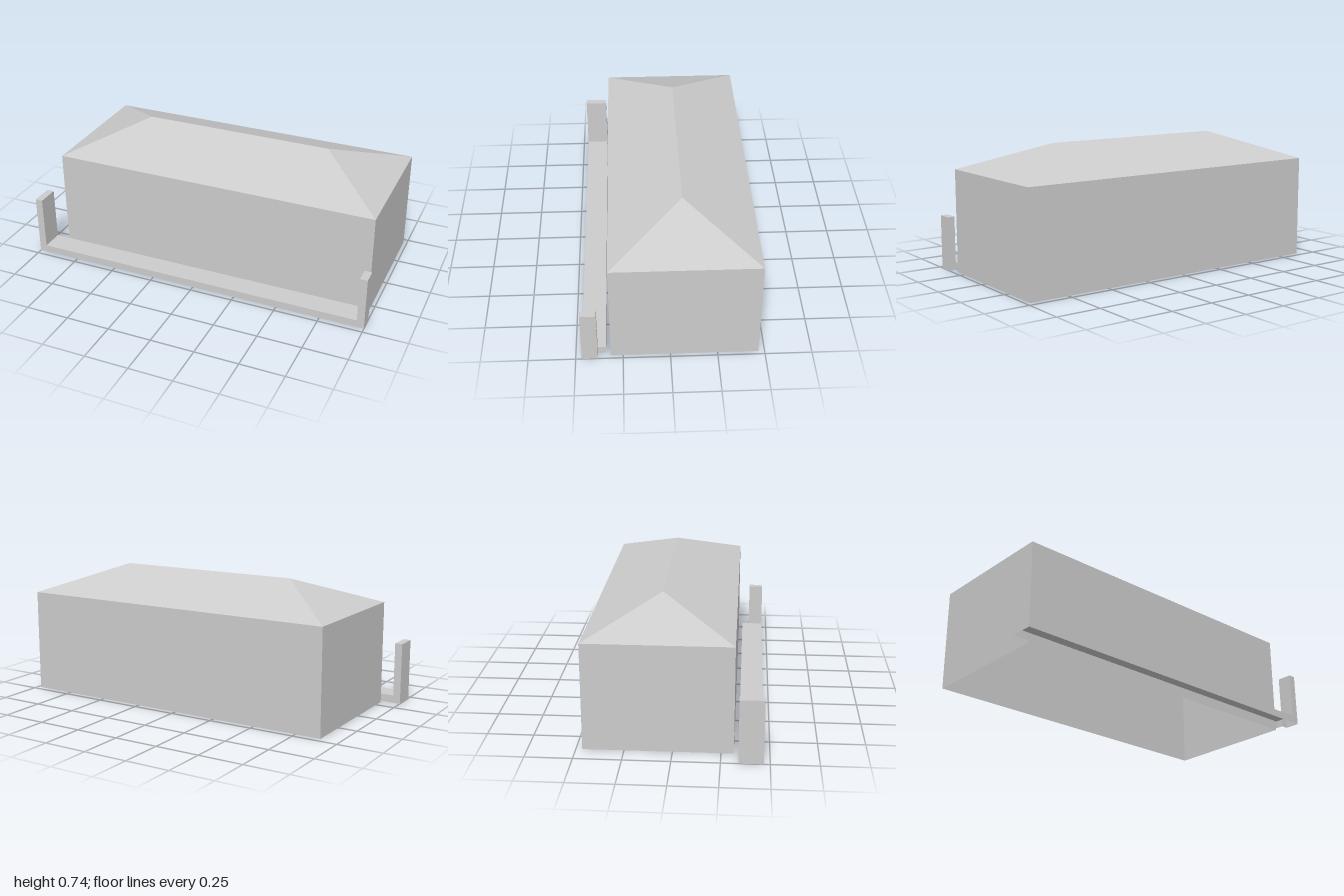
import * as THREE from 'three';

const grey = new THREE.MeshStandardMaterial({ color: 0xcccccc, side: THREE.DoubleSide });
grey.name = 'plain grey';

// Box faces in BoxGeometry order
const FACES = ['right', 'left', 'top', 'bottom', 'front', 'back'];

// Hollow box between two limits on each axis, keeping only the named faces
function shell(name, [x0, x1], [y0, y1], [z0, z1], keep) {
  const geo = new THREE.BoxGeometry(x1 - x0, y1 - y0, z1 - z0);
  const all = Array.from(geo.index.array);
  geo.setIndex(all.filter((_, i) => keep.includes(FACES[Math.floor(i / 6)])));
  geo.clearGroups();
  geo.translate((x0 + x1) / 2, (y0 + y1) / 2, (z0 + z1) / 2);
  const mesh = new THREE.Mesh(geo, grey);
  mesh.name = name;
  return mesh;
}

// Hipped roof with four slopes meeting at a ridge, open underneath
function hippedRoof([x0, x1], [eave, ridge], [z0, z1]) {
  const run = (z1 - z0) / 2, zm = (z0 + z1) / 2;
  const fl = [x0, eave, z1], fr = [x1, eave, z1], br = [x1, eave, z0], bl = [x0, eave, z0];
  const rl = [x0 + run, ridge, zm], rr = [x1 - run, ridge, zm];
  const triangles = [
    fl, fr, rr, fl, rr, rl, // front slope
    br, bl, rl, br, rl, rr, // back slope
    fr, br, rr, bl, fl, rl, // hips
  ];
  const geo = new THREE.BufferGeometry();
  geo.setAttribute('position', new THREE.Float32BufferAttribute(triangles.flat(), 3));
  geo.computeVertexNormals();
  const mesh = new THREE.Mesh(geo, grey);
  mesh.name = 'roof';
  return mesh;
}

export function createModel() {
  const model = new THREE.Group();
  model.name = 'houseWithFrontWall';

  // House: four walls without a floor, under the roof
  const hx = [-0.893, 0.979], hz = [-0.467, 0.316], eave = 0.583;
  const house = new THREE.Group();
  house.name = 'house';
  house.add(
    shell('walls', hx, [0, eave], hz, ['right', 'left', 'front', 'back']),
    hippedRoof(hx, [eave, 0.738], hz),
  );

  // Low wall in front, hollow below, with an end post at each side
  const low = 0.043, inner = 0.958, wz = [0.34, 0.468], shortZ = [0.383, 0.468];
  const postFaces = ['right', 'left', 'top', 'front', 'back'];
  const wall = new THREE.Group();
  wall.name = 'frontWall';
  wall.add(
    shell('kerb', [-inner, inner], [0, low], wz, ['top', 'front', 'back']),
    shell('kerbEnd', [-inner, inner], [0, low], [wz[0], shortZ[0]], ['right']),
    shell('rightPostFoot', [-1, -inner], [0, low], wz, ['left', 'front', 'back']),
    shell('rightPost', [-1, -inner], [low, 0.348], wz, postFaces),
    shell('leftPostFoot', [inner, 1], [0, low], shortZ, ['right', 'front', 'back']),
    shell('leftPost', [inner, 1], [low, 0.306], shortZ, postFaces),
  );

  model.add(house, wall);
  return model;
}
